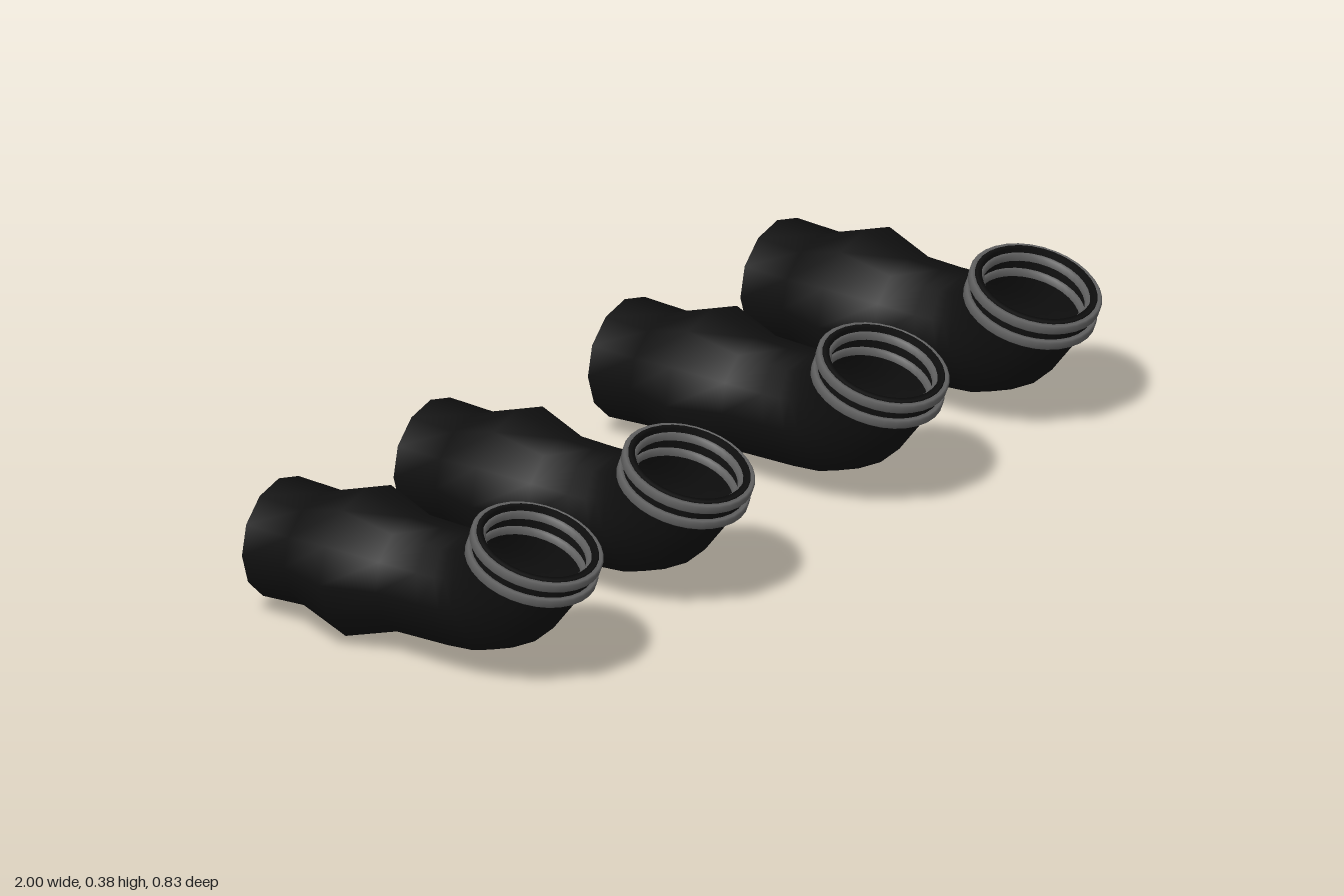
import * as THREE from 'three';

const rubber = new THREE.MeshStandardMaterial({ color: 0x0f0f0f, side: THREE.DoubleSide });
const metal = new THREE.MeshStandardMaterial({ color: 0x606060 });

const SIDES = 12;
// Hose stations from back to front: [z top, y top, z bottom, y bottom, half width]
const STATIONS = [
  [-0.41, 0.288, -0.40, 0.025, 0.13],
  [-0.295, 0.288, -0.29, 0.036, 0.13],
  [-0.175, 0.333, -0.163, 0.002, 0.165],
  [-0.055, 0.30, -0.04, 0.046, 0.127],
  [0.03, 0.301, 0.10, 0.054, 0.126],
  [0.07, 0.303, 0.17, 0.062, 0.126],
  [0.09, 0.305, 0.22, 0.078, 0.126],
  [0.105, 0.308, 0.28, 0.11, 0.127],
  [0.115, 0.311, 0.33, 0.155, 0.128],
  [0.125, 0.314, 0.365, 0.20, 0.129],
  [0.13, 0.318, 0.388, 0.245, 0.13],
];

// Skin of twelve-sided loops spanning each station's top and bottom points
function hoseGeometry() {
  const pos = [], index = [];
  STATIONS.forEach(([zt, yt, zb, yb, rx], i) => {
    for (let k = 0; k < SIDES; k++) {
      const a = (k / SIDES) * Math.PI * 2, c = Math.cos(a);
      pos.push(Math.sin(a) * rx, (yt + yb) / 2 + (c * (yt - yb)) / 2, (zt + zb) / 2 + (c * (zt - zb)) / 2);
      if (i === 0) continue;
      const n = (k + 1) % SIDES, p = (i - 1) * SIDES, q = i * SIDES;
      index.push(p + k, q + k, q + n, p + k, q + n, p + n);
    }
  });
  const g = new THREE.BufferGeometry();
  g.setAttribute('position', new THREE.Float32BufferAttribute(pos, 3));
  g.setIndex(index);
  g.computeVertexNormals();
  return g;
}

// Closed ring of rectangular section with small bevels
function ringGeometry(inner, outer, y0, y1, bevel) {
  const points = [
    [inner, y0], [outer - bevel, y0], [outer, y0 + bevel],
    [outer, y1 - bevel], [outer - bevel, y1], [inner, y1], [inner, y0],
  ].map(([r, y]) => new THREE.Vector2(r, y));
  return new THREE.LatheGeometry(points, 32);
}

function part(name, geometry, material) {
  const mesh = new THREE.Mesh(geometry, material);
  mesh.name = name;
  return mesh;
}

export function createModel() {
  const group = new THREE.Group();
  group.name = 'hoseSet';

  const hose = hoseGeometry();
  const sleeve = ringGeometry(0.119, 0.133, -0.02, 0.055, 0.003);
  const band = ringGeometry(0.125, 0.144, -0.011, 0.011, 0.004);
  const lip = ringGeometry(0.111, 0.121, -0.008, 0.008, 0.001);

  [-0.835, -0.327, 0.324, 0.835].forEach((x, i) => {
    const elbow = new THREE.Group();
    elbow.name = `elbowHose${i + 1}`;
    elbow.position.x = x;
    elbow.add(part('hoseBody', hose, rubber));

    // Collar tilted forward at the open mouth
    const collar = new THREE.Group();
    collar.name = 'collar';
    collar.position.set(0.008, 0.285, 0.265);
    collar.rotation.x = 0.32;
    collar.add(part('sleeve', sleeve, rubber));
    for (const y of [0, 0.041]) {
      const clamp = part('clampBand', band, metal);
      clamp.position.y = y;
      const inside = part('innerLip', lip, metal);
      inside.position.y = y - 0.005;
      collar.add(clamp, inside);
    }
    elbow.add(collar);
    group.add(elbow);
  });
  return group;
}
